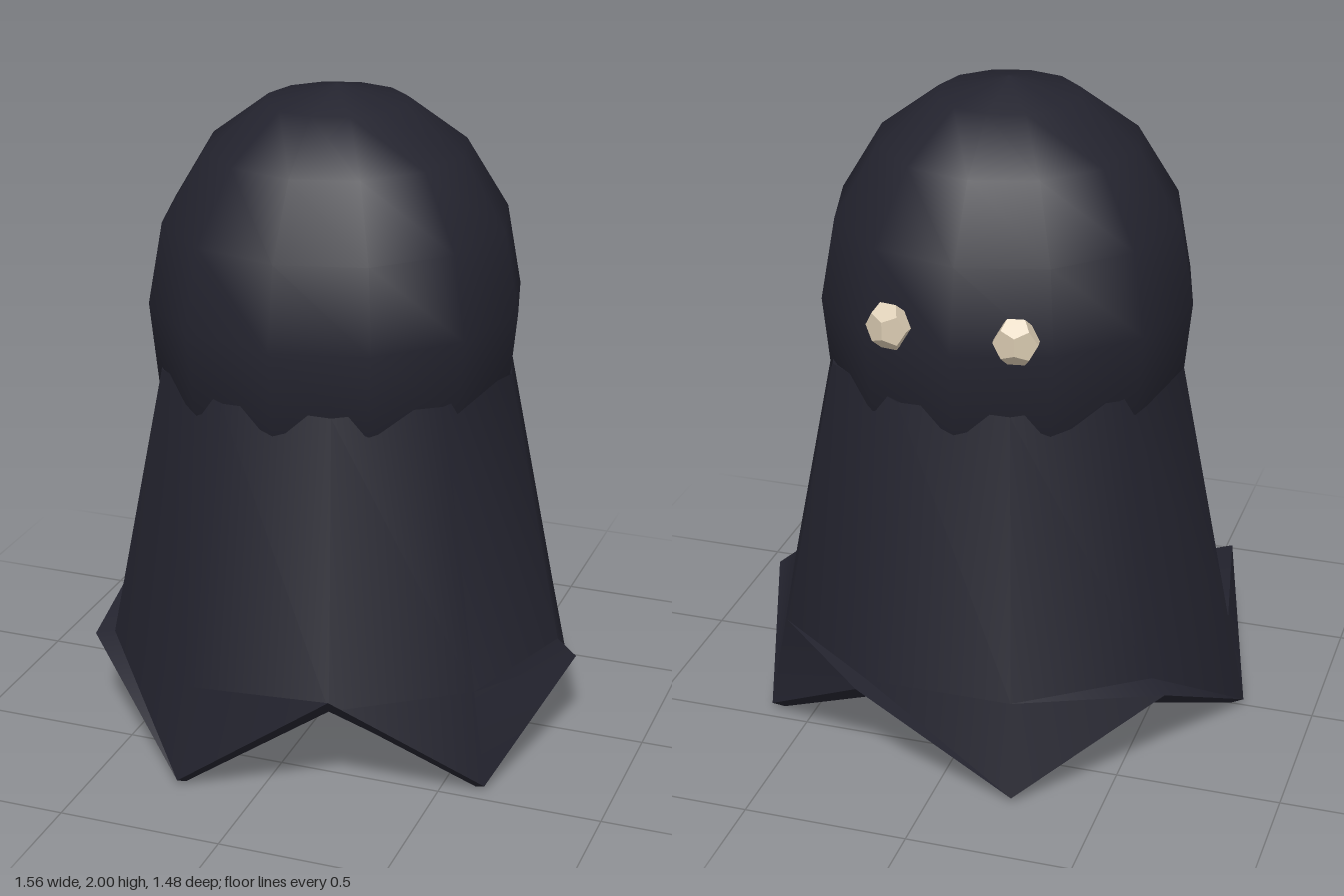
import * as THREE from 'three';
import { toCreasedNormals } from 'three/addons/utils/BufferGeometryUtils.js';

const SIDES = 10;

// Outer height of each hem corner, going round from +x towards +z
const HEM = [0.26, 0.02, 0.37, 0.02, 0.31, 0.02, 0.28, 0.02, 0.31, 0.02];

// Ten-sided cloth shell with thickness: rings run down the outside and up the inside
function clothGeometry() {
  const rings = [
    () => [0.55, 1.16],
    () => [0.72, 0.31],
    (i) => [0.78, HEM[i]],
    (i) => (i % 2 ? [0.74, 0] : [i === 0 ? 0.74 : 0.71, HEM[i] - (i === 0 ? 0.02 : 0.06)]),
    () => [0.68, 0.29],
    () => [0.51, 1.14],
    () => [0.55, 1.16],
  ];
  const positions = [];
  const index = [];
  rings.forEach((ring, r) => {
    for (let i = 0; i < SIDES; i++) {
      const a = (i / SIDES) * Math.PI * 2;
      const [radius, y] = ring(i);
      positions.push(Math.cos(a) * radius, y, Math.sin(a) * radius);
      if (r === rings.length - 1) continue;
      const j = (i + 1) % SIDES;
      const t = r * SIDES;
      const b = t + SIDES;
      index.push(t + i, t + j, b + i, t + j, b + j, b + i);
    }
  });
  const geometry = new THREE.BufferGeometry();
  geometry.setAttribute('position', new THREE.Float32BufferAttribute(positions, 3));
  geometry.setIndex(index);
  return toCreasedNormals(geometry, 0.75);
}

export function createModel() {
  const group = new THREE.Group();
  group.name = 'hoodedGhost';

  const cloth = new THREE.MeshStandardMaterial({ color: 0x23232e, side: THREE.DoubleSide });
  cloth.name = 'darkCloth';
  const bone = new THREE.MeshStandardMaterial({ color: 0xd8c9b0, flatShading: true });
  bone.name = 'paleEye';

  const add = (name, geometry, material) => {
    const mesh = new THREE.Mesh(geometry, material);
    mesh.name = name;
    group.add(mesh);
    return mesh;
  };

  // Robe with jagged hem
  add('robe', clothGeometry(), cloth);

  // Round head, its lower part sunk into the robe
  const profile = [
    [0, 0.78], [0.28, 0.82], [0.45, 0.93], [0.545, 1.1], [0.57, 1.35],
    [0.525, 1.6], [0.395, 1.815], [0.215, 1.95], [0, 2],
  ].map(([x, y]) => new THREE.Vector2(x, y));
  const head = add('head', new THREE.LatheGeometry(profile, 12), cloth);
  head.position.x = -0.005;

  // Faceted eyes on the -z side
  for (const [name, side] of [['leftEye', 1], ['rightEye', -1]]) {
    const eye = add(name, new THREE.DodecahedronGeometry(1), bone);
    eye.scale.set(0.07, 0.075, 0.045);
    eye.position.set(side * 0.19, 1.4, -0.53);
    eye.rotation.y = side * -0.15;
  }

  return group;
}
